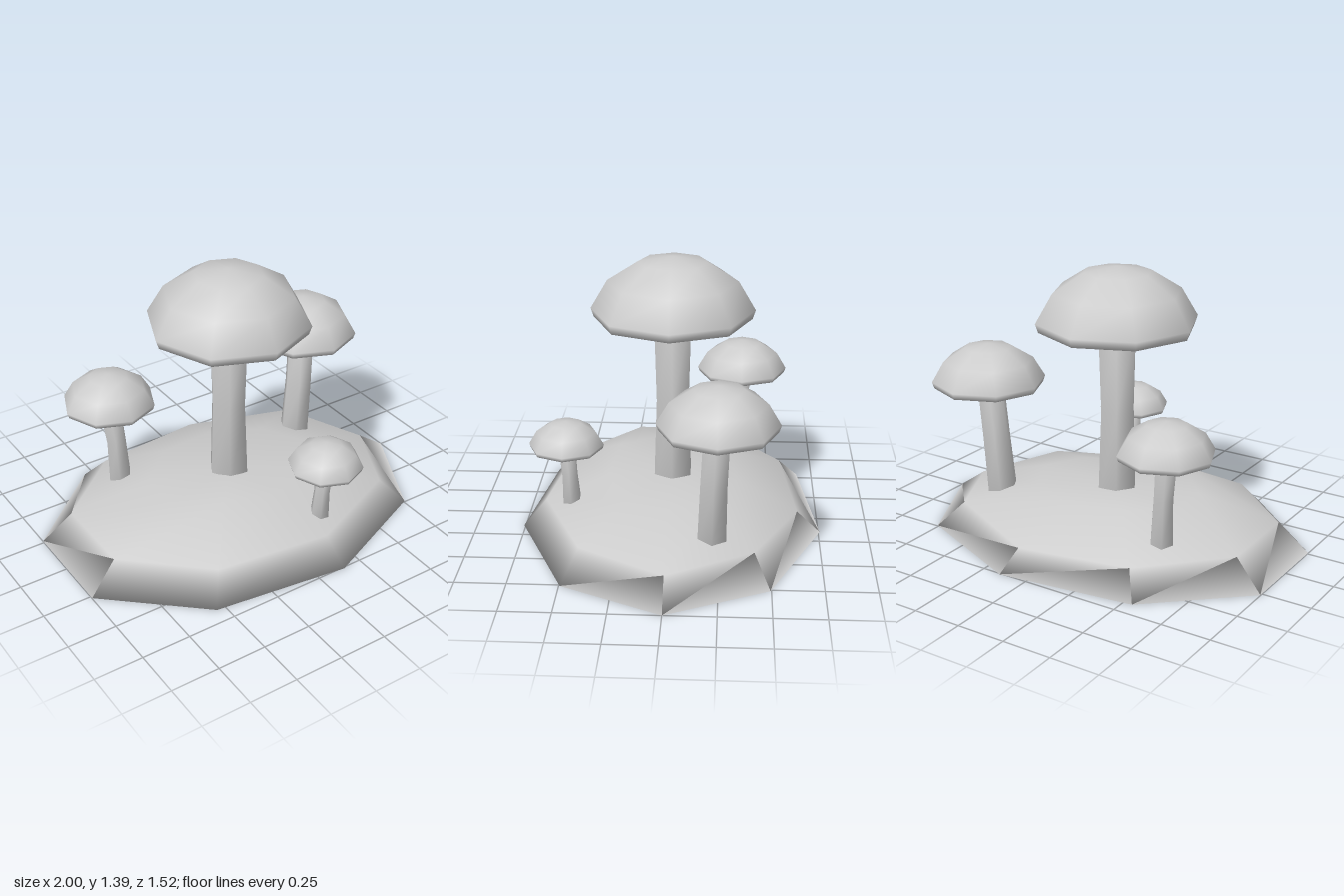
import * as THREE from 'three';

const grey = new THREE.MeshStandardMaterial({ color: 0xcccccc });
grey.name = 'light grey';

// Closed smooth skin over a stack of equal rings, listed bottom to top,
// with a centre point closing each end
function skin(rings, bottom, top) {
  const n = rings[0].length;
  const points = [...rings.flat(), bottom, top];
  const b = points.length - 2, t = points.length - 1;
  const last = (rings.length - 1) * n;
  const index = [];
  for (let k = 0; k < n; k++) {
    const k1 = (k + 1) % n;
    for (let r = 0; r < rings.length - 1; r++) {
      const lo = r * n, hi = lo + n;
      index.push(lo + k, hi + k, lo + k1, lo + k1, hi + k, hi + k1);
    }
    index.push(b, k, k1, t, last + k1, last + k);
  }
  const geometry = new THREE.BufferGeometry();
  geometry.setAttribute('position', new THREE.Float32BufferAttribute(points.flat(), 3));
  geometry.setIndex(index);
  geometry.computeVertexNormals();
  return geometry;
}

// One ring of n points; height is a number or a list with one value per point
function ring(n, cx, cz, rx, rz, height) {
  return Array.from({ length: n }, (_, k) => {
    const a = (k / n) * Math.PI * 2;
    return [cx + rx * Math.cos(a), Array.isArray(height) ? height[k] : height, cz + rz * Math.sin(a)];
  });
}

function addMesh(parent, name, geometry) {
  const mesh = new THREE.Mesh(geometry, grey);
  mesh.name = name;
  parent.add(mesh);
}

// Cap profile for a radius of 0.41: [radius, height above the underside]
const CAP = [[0.395, 0], [0.41, 0.045], [0.325, 0.19], [0.172, 0.287]];
const CAP_RADIUS = 0.41, CAP_HEIGHT = 0.315;

function mushroom({ name, x, z, y, r, stem }) {
  const group = new THREE.Group();
  group.name = name;

  // Eight-sided domed cap with a flat underside
  const s = r / CAP_RADIUS;
  const capRings = CAP.map(([cr, h]) => ring(8, x, z, cr * s, cr * s, y + h * s));
  addMesh(group, 'cap', skin(capRings, [x, y, z], [x, y + CAP_HEIGHT * s, z]));

  // Six-sided leaning stem: [x, y, z, radius] from foot to cap
  const stemRings = stem.map(([sx, sy, sz, sr]) => ring(6, sx, sz, sr, sr, sy));
  const foot = stem[0], head = stem[stem.length - 1];
  addMesh(group, 'stem', skin(stemRings, foot.slice(0, 3), head.slice(0, 3)));
  return group;
}

export function createModel() {
  const model = new THREE.Group();
  model.name = 'mushroomCluster';

  // Uneven nine-sided mound
  const mound = [
    [1, 0],
    [0.845, [0.115, 0.14, 0.14, 0.14, 0.145, 0.14, 0.12, 0.10, 0.135]],
    [0.437, [0.245, 0.24, 0.245, 0.29, 0.25, 0.25, 0.26, 0.24, 0.235]],
  ].map(([s, h]) => ring(9, -0.03, 0, 1.03 * s, 0.77 * s, h));
  addMesh(model, 'mound', skin(mound, [-0.03, 0, 0], [-0.03, 0.245, 0]));

  // Mushrooms; y is the height of the cap's underside
  [
    { name: 'tallMushroom', x: -0.035, z: 0, y: 1.075, r: 0.41,
      stem: [[-0.035, 0.18, 0, 0.108], [-0.037, 0.65, 0, 0.092], [-0.035, 1.09, 0, 0.105]] },
    { name: 'leftMushroom', x: 0.59, z: -0.24, y: 0.735, r: 0.29,
      stem: [[0.54, 0.15, -0.215, 0.08], [0.565, 0.45, -0.222, 0.074], [0.585, 0.745, -0.235, 0.072]] },
    { name: 'rightMushroom', x: -0.53, z: -0.35, y: 0.615, r: 0.237,
      stem: [[-0.5, 0.15, -0.33, 0.062], [-0.51, 0.4, -0.335, 0.053], [-0.532, 0.625, -0.35, 0.058]] },
    { name: 'smallMushroom', x: 0.19, z: 0.52, y: 0.46, r: 0.187,
      stem: [[0.18, 0.15, 0.5, 0.05], [0.185, 0.31, 0.508, 0.041], [0.19, 0.468, 0.52, 0.046]] },
  ].forEach((spec) => model.add(mushroom(spec)));

  return model;
}
